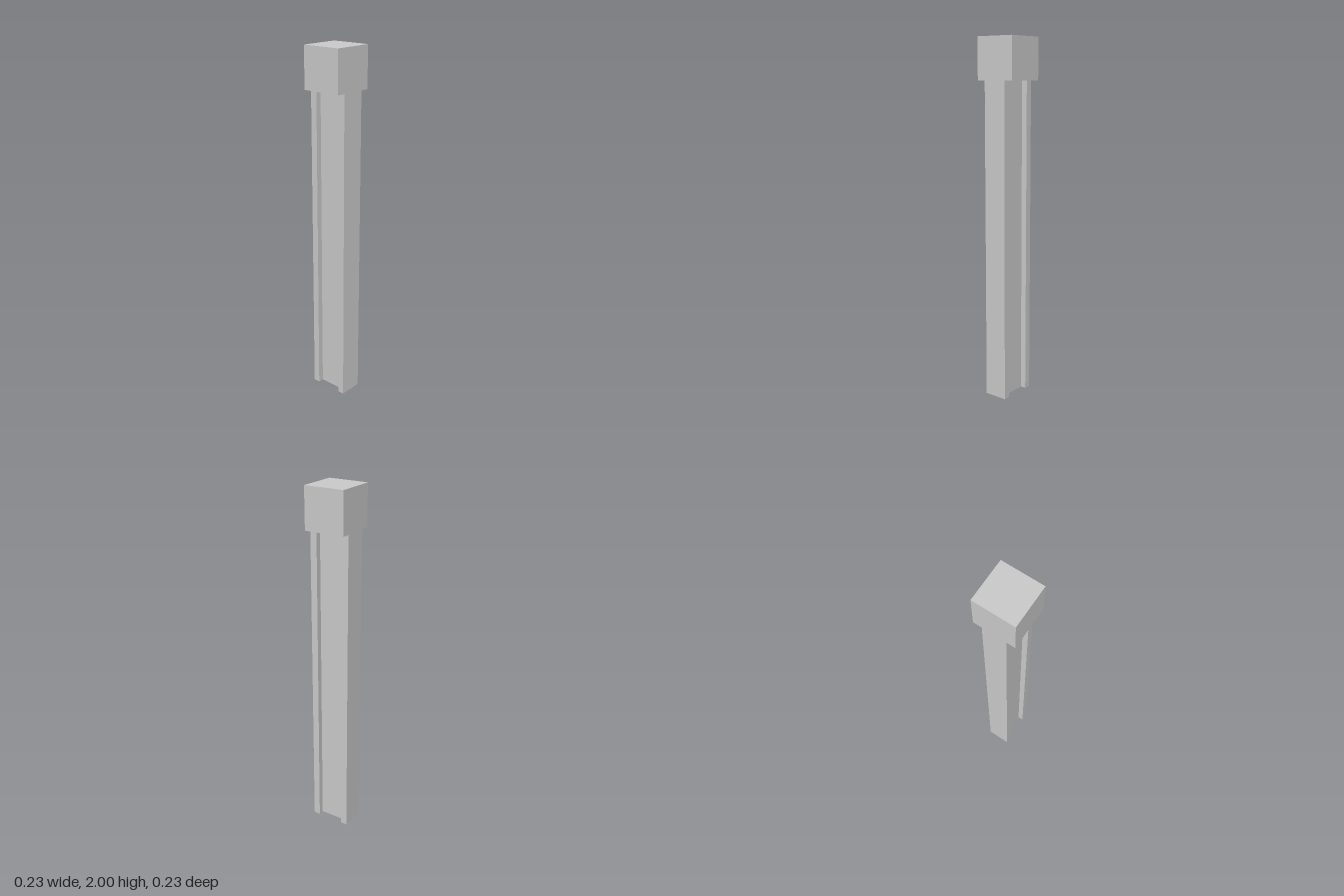
import * as THREE from 'three';

export function createModel() {
  const group = new THREE.Group();
  const material = new THREE.MeshStandardMaterial({ color: 0xcccccc, flatShading: true });
  const half = 0.115, capBottom = 1.772;
  const flangeX = 0.077, flangeZ = 0.067, webZ = 0.035;

  // H-shaped post: two side flanges joined by a recessed web
  const section = new THREE.Shape([
    [-half, -flangeZ], [-flangeX, -flangeZ], [-flangeX, -webZ], [flangeX, -webZ],
    [flangeX, -flangeZ], [half, -flangeZ], [half, flangeZ], [flangeX, flangeZ],
    [flangeX, webZ], [-flangeX, webZ], [-flangeX, flangeZ], [-half, flangeZ],
  ].map(([x, z]) => new THREE.Vector2(x, z)));
  const postGeometry = new THREE.ExtrudeGeometry(section, { depth: capBottom, bevelEnabled: false });
  postGeometry.rotateX(-Math.PI / 2);
  const post = new THREE.Mesh(postGeometry, material);
  post.name = 'post';

  // Square block on top
  const cap = new THREE.Mesh(new THREE.BoxGeometry(2 * half, 2 - capBottom, 2 * half), material);
  cap.position.y = (2 + capBottom) / 2;
  cap.name = 'cap';

  group.add(post, cap);
  return group;
}
